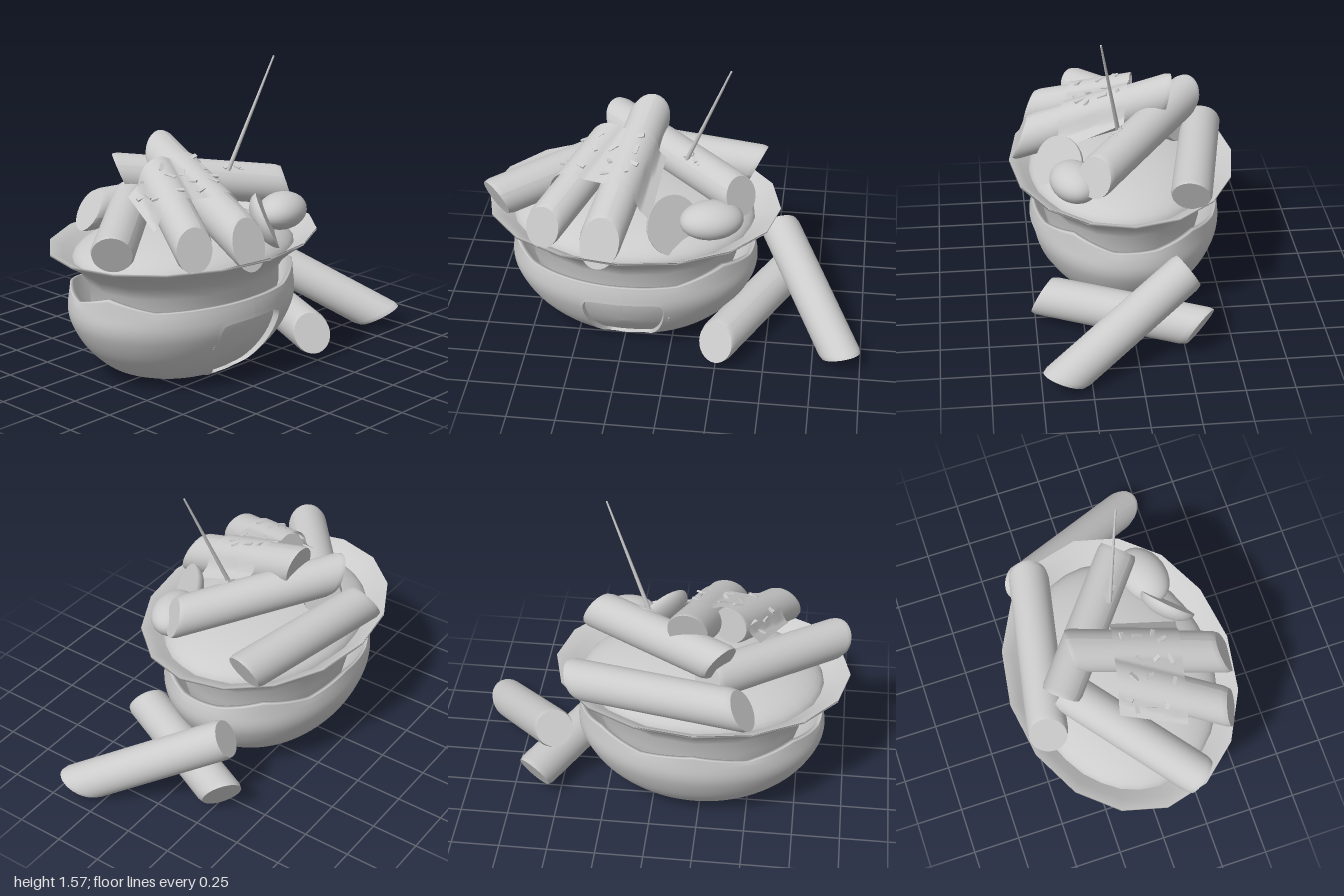
import * as THREE from 'three';

const V = (x, y, z) => new THREE.Vector3(x, y, z);
const UP = V(0, 1, 0);
const CX = -0.23;      // bowl centre
const SQUASH = 0.775;  // bowl is oval

const solid = new THREE.MeshStandardMaterial({ color: 0xcccccc });
const open = new THREE.MeshStandardMaterial({ color: 0xcccccc, side: THREE.DoubleSide });

export function createModel() {
  const model = new THREE.Group();
  const add = (name, geometry, material = solid) => {
    const mesh = new THREE.Mesh(geometry, material);
    mesh.name = name;
    model.add(mesh);
    return mesh;
  };
  const lathe = (pts, segments) =>
    new THREE.LatheGeometry(pts.map(p => new THREE.Vector2(p[0], p[1])), segments);
  const spline = (pts, n) =>
    new THREE.SplineCurve(pts.map(p => new THREE.Vector2(...p))).getPoints(n);

  // Bowl profile, and the depth of its front surface at a point
  const belly = spline([[0.34, 0.01], [0.45, 0.06], [0.56, 0.16], [0.63, 0.27], [0.655, 0.36], [0.64, 0.47]], 40);
  const frontZ = (x, y) => {
    const k = Math.max(1, belly.findIndex(p => p.y >= y));
    const p = belly[k - 1], q = belly[k];
    const r = THREE.MathUtils.mapLinear(Math.max(y, 0.01), p.y, q.y, p.x, q.x);
    return Math.sqrt(Math.max(0, r * r - x * x)) * SQUASH - 0.015;
  };

  // Shield outline of the front panel, around its own centre
  const MID = 0.2;
  const right = [[0, 0.16], [0.17, 0.155], [0.205, 0.13], [0.21, 0.08], [0.195, 0], [0.16, -0.09], [0.1, -0.168], [0, -0.17]];
  const left = right.slice(1, -1).reverse().map(([x, y]) => [-x, y]);
  const shield = spline([...right, ...left, right[0]], 64);
  const inShield = (x, y) => {
    let inside = false;
    shield.forEach((p, i) => {
      const q = shield[(i + 1) % shield.length];
      if ((p.y > y) !== (q.y > y) && x < p.x + (q.x - p.x) * (y - p.y) / (q.y - p.y)) inside = !inside;
    });
    return inside;
  };

  // Bowl: recessed foot, round belly, zigzag rim
  const bowlGeo = lathe([
    [0, 0.055], [0.2, 0.05], [0.27, 0.04], [0.3, 0.01], ...belly.map(p => [p.x, p.y]),
    [0.62, 0.47], [0.59, 0.36], [0.47, 0.2],
  ], 112);
  const pos = bowlGeo.attributes.position;
  const rim = [-0.01, -0.015, 0.045, -0.015, -0.01, 0.03, -0.02, 0.01, -0.03, 0.015, -0.025, 0.04, -0.015, -0.01];
  for (let i = 0; i < pos.count; i++) {
    const x = pos.getX(i), y = pos.getY(i), z = pos.getZ(i);
    const a = (Math.atan2(x, z) / (2 * Math.PI) + 1) % 1 * rim.length, k = Math.floor(a);
    const lift = THREE.MathUtils.lerp(rim[k % rim.length], rim[(k + 1) % rim.length], a - k);
    pos.setXYZ(i, x, y + lift * Math.max(0, (y - 0.42) / 0.05), z * SQUASH - 0.015);
  }
  bowlGeo.computeVertexNormals();
  // opening for the panel
  const kept = [], index = bowlGeo.index.array;
  for (let i = 0; i < index.length; i += 3) {
    const tri = [index[i], index[i + 1], index[i + 2]];
    const c = V(0, 0, 0);
    tri.forEach(n => c.add(V(pos.getX(n), pos.getY(n), pos.getZ(n)).divideScalar(3)));
    const cut = c.z > 0.1 && Math.abs(c.z - frontZ(c.x, c.y)) < 0.02 && inShield(c.x / 1.05, (c.y - MID) / 1.05);
    if (!cut) kept.push(...tri);
  }
  bowlGeo.setIndex(kept);
  add('bowl', bowlGeo, open).position.x = CX;

  // Sunken panel with a frame: rings of [outline scale, depth]
  const rings = [[1.12, 0.003], [1, 0.004], [1, 0.004], [0.97, -0.03], [0.97, -0.03], [0.7, -0.03], [0.35, -0.03], [0, -0.03]];
  const panelGeo = new THREE.PlaneGeometry(1, 1, shield.length - 1, rings.length - 1);
  rings.forEach(([s, depth], j) => shield.forEach((p, i) => {
    const x = p.x * s, y = MID + p.y * s;
    panelGeo.attributes.position.setXYZ(j * shield.length + i, x, y, frontZ(x, y) + depth);
  }));
  panelGeo.computeVertexNormals();
  add('frontPanel', panelGeo, open).position.x = CX;

  // Flared liner standing in the bowl
  const liner = add('liner', lathe([
    [0.5, 0.25], [0.55, 0.42], [0.55, 0.5], [0.6, 0.57], [0.68, 0.63], [0.77, 0.68],
    [0.77, 0.692], [0.7, 0.66], [0.6, 0.6],
  ], 16), open);
  liner.position.x = CX;
  liner.scale.z = SQUASH;

  // Mound of filling
  const mound = add('filling', new THREE.SphereGeometry(0.64, 32, 12, 0, Math.PI * 2, 0, Math.PI / 2));
  mound.position.set(CX, 0.61, 0);
  mound.scale.set(1, 0.26, SQUASH);

  // Sticks: round rolls from a to b, each end cut square to its own normal
  const stick = (name, a, b, r, cutA, cutB) => {
    const h = a.distanceTo(b) / 2, e = 0.93 * r;
    const geo = lathe([[0, -h], [e, -h], [e, -h], [r, -h + 0.03], [r, h - 0.03], [e, h], [e, h], [0, h]], 28);
    const turn = new THREE.Quaternion().setFromUnitVectors(UP, b.clone().sub(a).normalize());
    const back = turn.clone().invert();
    const nA = cutA.clone().applyQuaternion(back), nB = cutB.clone().applyQuaternion(back);
    const p = geo.attributes.position;
    for (let i = 0; i < p.count; i++) {
      const n = p.getY(i) < 0 ? nA : nB;
      p.setY(i, p.getY(i) - (n.x * p.getX(i) + n.z * p.getZ(i)) / n.y);
    }
    geo.computeVertexNormals();
    const mesh = add(name, geo, open);
    mesh.position.copy(a).lerp(b, 0.5);
    mesh.quaternion.copy(turn);
  };
  const frontA = V(-0.33, 0.768, 0.54), frontB = V(-0.17, 1.065, -0.235);
  const sideA = V(-0.63, 0.79, 0.465), sideB = V(-0.37, 0.98, -0.04);
  stick('frontStick', frontA, frontB, 0.108, V(-0.1, 0.35, 0.92), V(0.05, -0.2, -1));
  stick('frontSideStick', sideA, sideB, 0.1, V(-0.35, 0.25, 0.9), V(0.4, 0.1, -0.9));
  stick('backStick', V(-0.47, 0.772, -0.465), V(0.4, 0.77, -0.295), 0.105, V(-0.82, 0.5, -0.2), V(0.88, -0.4, 0.2));
  stick('outerStick', V(-0.92, 0.775, 0.2), V(-0.28, 0.84, -0.32), 0.106, V(-0.65, -0.35, 0.62), V(0.7, 0.2, -0.65));
  stick('crossStick', V(0.345, 0.872, 0.185), V(-0.345, 0.97, -0.35), 0.104, V(0.7, 0.3, 0.62), V(-0.7, -0.4, -0.6));
  stick('lyingStick', V(0.25, 0.137, 0.46), V(0.63, 0.14, -0.32), 0.106, V(-0.45, 0.4, 0.8), V(0.55, -0.45, -0.7));
  stick('leaningStick', V(0.9, 0.055, 0.39), V(0.52, 0.41, -0.27), 0.104, V(0.25, -0.85, 0.4), V(-0.3, 0.5, -0.8));

  // Height of cloth resting on a stick above a ground point, falling away beside it
  const restOn = (a, b, r, x, z) => {
    const d = V(b.x - a.x, 0, b.z - a.z), len = d.length();
    d.divideScalar(len);
    const along = (x - a.x) * d.x + (z - a.z) * d.z;
    const across = Math.abs((x - a.x) * d.z - (z - a.z) * d.x);
    const slope = (b.y - a.y) / len;
    const arc = Math.sqrt(Math.max(0, r * r - across * across)) * Math.hypot(1, slope);
    return a.y + along * slope + arc - Math.max(0, across - r) * 0.8;
  };
  const axisX = (a, b, z) => THREE.MathUtils.mapLinear(z, a.z, b.z, a.x, b.x);
  const drape = (x, z) => {
    const onFront = px => restOn(frontA, frontB, 0.117, px, z);
    const onSide = px => restOn(sideA, sideB, 0.112, px, z);
    const x0 = axisX(sideA, sideB, z), x1 = axisX(frontA, frontB, z);
    const y = Math.max(onFront(x), onSide(x));
    if (x < x0 || x > x1) return y;
    // pulled taut between the two crests
    return Math.max(y, THREE.MathUtils.mapLinear(x, x0, x1, onSide(x0), onFront(x1)) - 0.02);
  };

  // Sheet draped over the two front sticks
  const corners = [V(-0.53, 0, -0.1), V(-0.06, 0, 0), V(-0.1, 0, 0.35), V(-0.66, 0, 0.22)];
  const onSheet = (u, v) => {
    const p = corners[0].clone().lerp(corners[1], u).lerp(corners[3].clone().lerp(corners[2], u), v);
    p.y = drape(p.x, p.z);
    return p;
  };
  const sheetGeo = new THREE.PlaneGeometry(1, 1, 40, 16);
  const sp = sheetGeo.attributes.position;
  for (let i = 0; i < sp.count; i++) sp.setXYZ(i, ...onSheet(sp.getX(i) + 0.5, 0.5 - sp.getY(i)));
  sheetGeo.computeVertexNormals();
  add('drapedSheet', sheetGeo, open);

  // Flakes scattered on the sheet and by the pick
  const flake = (p, i) => {
    const mesh = add('flake', new THREE.BoxGeometry(0.055, 0.01, 0.02));
    mesh.position.copy(p);
    mesh.rotation.set(0.35 + 0.3 * Math.sin(i * 3), i * 1.9, 0.3 * Math.cos(i * 2));
  };
  for (let i = 0; i < 14; i++) flake(onSheet(0.08 + 0.84 * ((i * 0.755) % 1), 0.1 + 0.8 * ((i * 0.57 + 0.2) % 1)), i);
  for (let i = 0; i < 3; i++) flake(V(0.06 + i * 0.035, 1 - i * 0.006, 0.03 + i * 0.02), i);

  // Halved egg with its cut face turned outward, and a whole egg beside it
  const half = new THREE.Group();
  half.name = 'halfEgg';
  const dome = new THREE.Mesh(new THREE.SphereGeometry(1, 28, 10, 0, Math.PI * 2, Math.PI / 2, Math.PI / 2), solid);
  const face = new THREE.Mesh(new THREE.CircleGeometry(1, 28).rotateX(-Math.PI / 2), solid);
  dome.name = 'eggDome';
  face.name = 'eggCutFace';
  half.add(dome, face);
  half.scale.set(0.155, 0.08, 0.155);
  half.position.set(0.02, 0.778, 0.35);
  half.quaternion.setFromUnitVectors(UP, V(0.64, 0.42, 0.66).normalize());
  model.add(half);
  const egg = add('egg', new THREE.SphereGeometry(1, 28, 18));
  egg.scale.set(0.165, 0.095, 0.12);
  egg.position.set(0.205, 0.78, 0.28);
  egg.rotation.y = 0.3;

  // Thin tapered pick
  const base = V(0.04, 0.95, 0.035), tip = V(0.28, 1.565, 0.145);
  const pick = add('pick', new THREE.CylinderGeometry(0.005, 0.012, base.distanceTo(tip), 8));
  pick.position.copy(base).lerp(tip, 0.5);
  pick.quaternion.setFromUnitVectors(UP, tip.clone().sub(base).normalize());

  return model;
}
